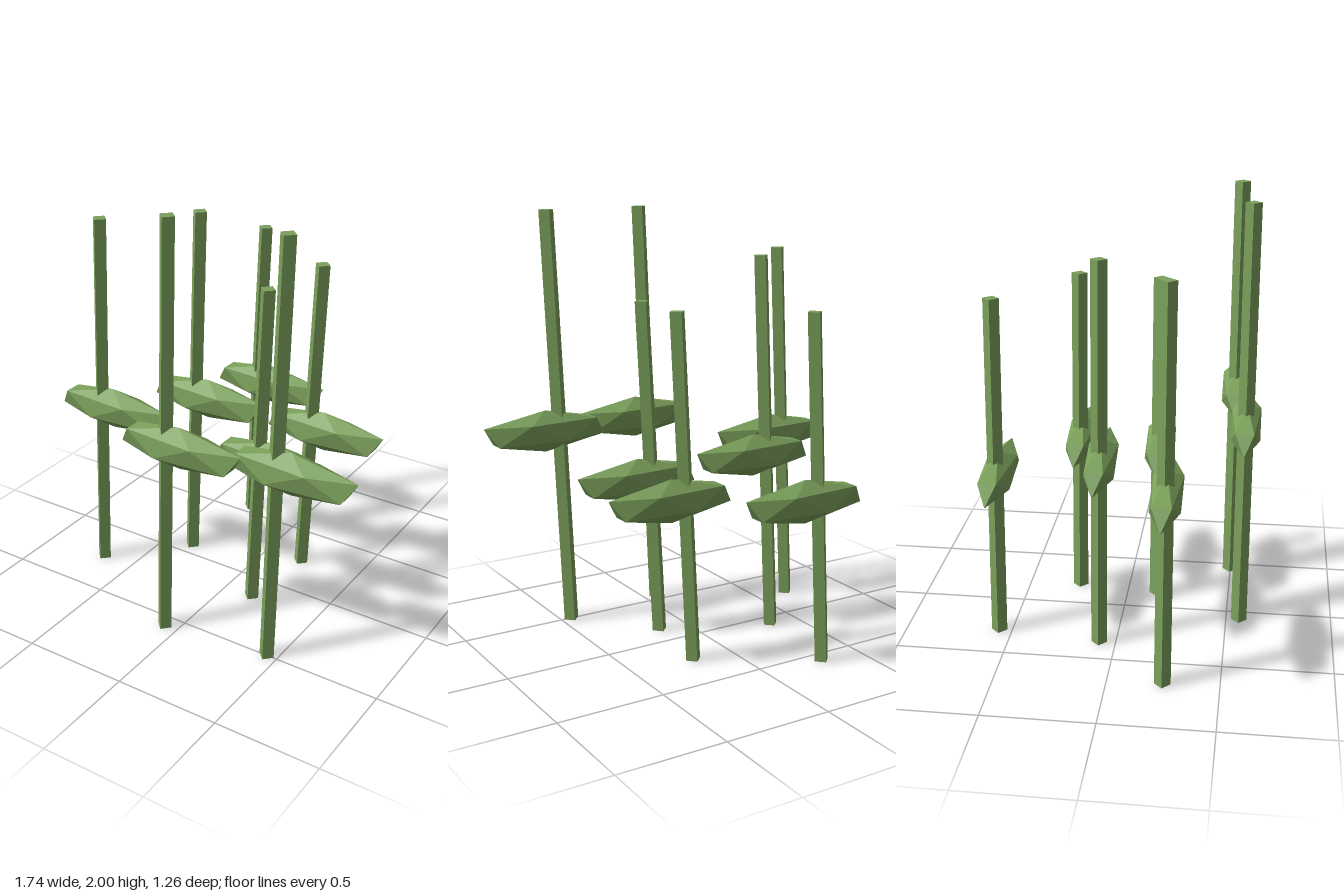
import * as THREE from 'three';
import { ConvexGeometry } from 'three/addons/geometries/ConvexGeometry.js';

const HEAD = { rx: 0.31, ry: 0.1, rz: 0.0715 };
const STALK_RADIUS = 0.037;
const LEAN = 0.078; // sideways drift of a stalk from foot to tip

// Long twelve-point pod: two poles and two staggered rings of five
function podGeometry() {
  const { rx, ry, rz } = HEAD;
  const points = [new THREE.Vector3(0, ry, 0), new THREE.Vector3(0, -ry, 0)];
  for (let i = 0; i < 5; i++) {
    const a = (i * Math.PI * 2) / 5;
    const x = rx * Math.cos(a), z = rz * Math.sin(a), y = ry * 0.447;
    points.push(new THREE.Vector3(x, y, z), new THREE.Vector3(-x, -y, -z));
  }
  return new ConvexGeometry(points);
}

// Four-sided stalk, sheared so both ends stay level
function stalkGeometry(height) {
  const geo = new THREE.CylinderGeometry(STALK_RADIUS, STALK_RADIUS, height, 4);
  geo.translate(0, height / 2, 0);
  const pos = geo.attributes.position;
  for (let i = 0; i < pos.count; i++) {
    pos.setX(i, pos.getX(i) + LEAN * (pos.getY(i) / height - 0.5));
  }
  geo.computeVertexNormals();
  return geo;
}

export function createModel() {
  const model = new THREE.Group();
  model.name = 'reeds';
  const green = new THREE.MeshStandardMaterial({ color: 0x7ba05b, flatShading: true });
  green.name = 'reedGreen';
  const pod = podGeometry();

  // Pod centre x, z and stalk height of each reed
  const reeds = [
    [-0.187, -0.561, 1.6],
    [0.305, -0.246, 1.6],
    [-0.241, -0.077, 1.8],
    [0.257, 0.146, 1.6],
    [-0.56, 0.247, 1.8],
    [0.04, 0.561, 2.0],
    [0.557, 0.498, 2.0],
  ];
  for (const [x, z, height] of reeds) {
    const reed = new THREE.Group();
    reed.name = 'reed';
    reed.position.set(x, 0, z);

    const stalk = new THREE.Mesh(stalkGeometry(height), green);
    stalk.name = 'stalk';
    stalk.position.x = -0.071;

    const leaf = new THREE.Mesh(pod, green);
    leaf.name = 'leaf';
    leaf.position.y = height / 2 - 0.034;

    reed.add(stalk, leaf);
    model.add(reed);
  }
  return model;
}
